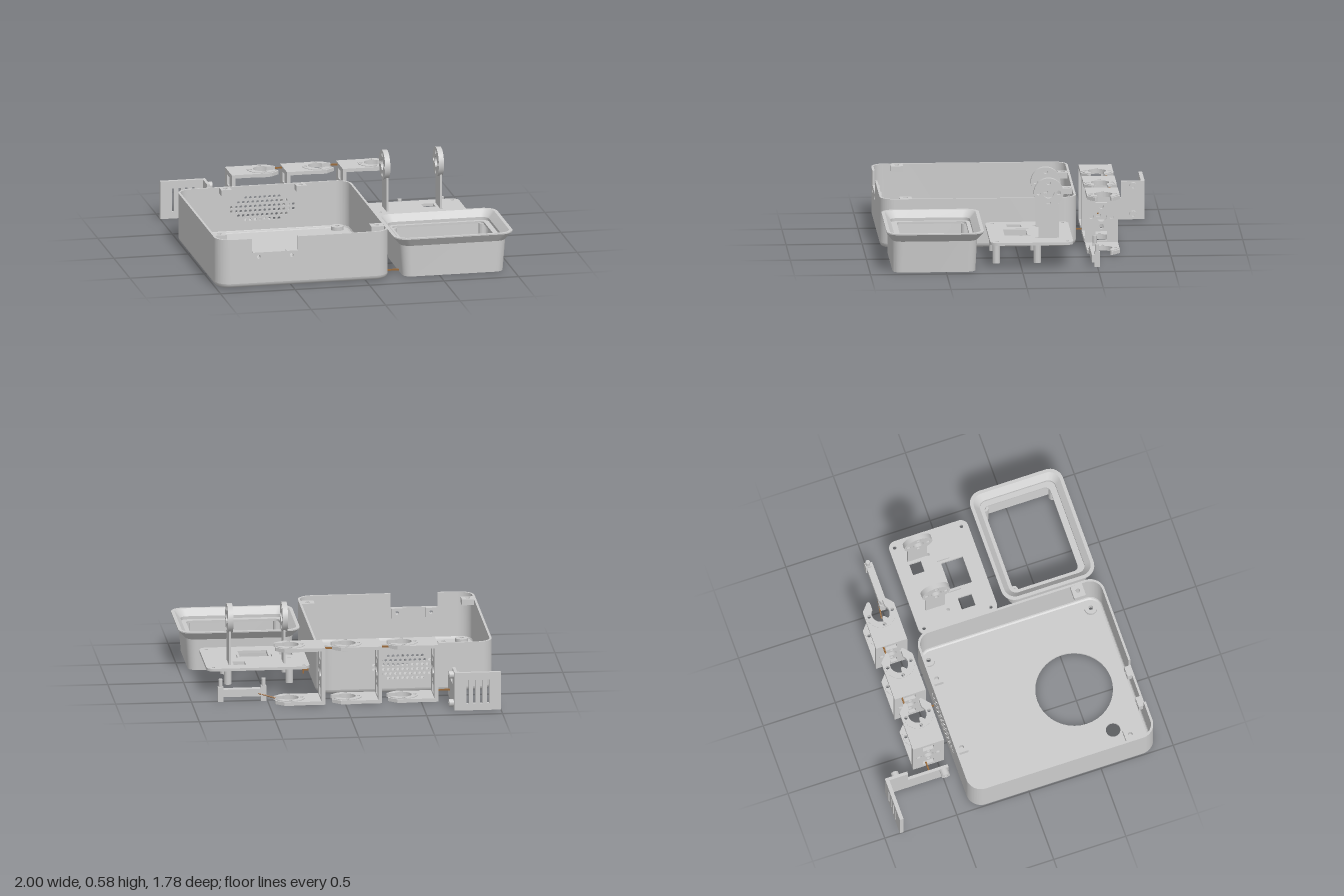
import * as THREE from 'three';
import { toCreasedNormals } from 'three/addons/utils/BufferGeometryUtils.js';

const PI = Math.PI;
const grey = new THREE.MeshStandardMaterial({ color: 0xcccccc });
const brown = new THREE.MeshStandardMaterial({ color: 0x9a6a3a });

// ---- helpers ----
function add(parent, name, geo, mat = grey) {
  const m = new THREE.Mesh(toCreasedNormals(geo, 0.5), mat);
  m.name = name;
  parent.add(m);
  return m;
}
function box(parent, name, x0, x1, y0, y1, z0, z1, mat) {
  const g = new THREE.BoxGeometry(x1 - x0, y1 - y0, z1 - z0);
  g.translate((x0 + x1) / 2, (y0 + y1) / 2, (z0 + z1) / 2);
  return add(parent, name, g, mat);
}
const poly = (...p) => new THREE.Shape(p.map(([x, y]) => new THREE.Vector2(x, y)));
const rect = (x0, x1, y0, y1) => poly([x0, y0], [x1, y0], [x1, y1], [x0, y1]);
const disc = (x, y, r) => new THREE.Shape().absarc(x, y, r, 0, 2 * PI, false);
const holed = (shape, holes) => { shape.holes.push(...holes); return shape; };
// points of a rounded rectangle
function roundedPts(x0, x1, y0, y1, r, n = 8) {
  const pts = [];
  [[x1 - r, y1 - r], [x0 + r, y1 - r], [x0 + r, y0 + r], [x1 - r, y0 + r]].forEach(([cx, cy], k) => {
    for (let i = 0; i <= n; i++) {
      const a = (k + i / n) * PI / 2;
      pts.push(new THREE.Vector2(cx + r * Math.cos(a), cy + r * Math.sin(a)));
    }
  });
  return pts;
}
const rounded = (...a) => new THREE.Shape(roundedPts(...a));
const extrude = (s, depth) => new THREE.ExtrudeGeometry(s, { depth, bevelEnabled: false, curveSegments: 20 });
// shapes drawn in (x,z), (z,y) and (x,y), pushed along y, x and z
const alongY = (s, y0, y1) => extrude(s, y1 - y0).rotateX(PI / 2).translate(0, y1, 0);
const alongX = (s, x0, x1) => extrude(s, x1 - x0).rotateY(-PI / 2).translate(x1, 0, 0);
const alongZ = (s, z0, z1) => extrude(s, z1 - z0).translate(0, 0, z0);

// closed band through rounded-rectangle sections [x0, x1, z0, z1, radius, y]
function loft(sections) {
  const pos = [], idx = [], m = sections.length;
  let n = 0;
  for (const [x0, x1, z0, z1, r, y] of sections) {
    const pts = roundedPts(x0, x1, z0, z1, r);
    n = pts.length;
    pts.forEach(p => pos.push(p.x, y, p.y));
  }
  for (let j = 0; j < m; j++) for (let i = 0; i < n; i++) {
    const k = (j + 1) % m, l = (i + 1) % n;
    const a = j * n + i, b = k * n + i, c = k * n + l, d = j * n + l;
    idx.push(a, b, d, b, c, d);
  }
  const g = new THREE.BufferGeometry();
  g.setAttribute('position', new THREE.Float32BufferAttribute(pos, 3));
  g.setIndex(idx);
  return g;
}
function group(parent, name) {
  const g = new THREE.Group();
  g.name = name;
  parent.add(g);
  return g;
}

// ---- large open case ----
function makeCase(root) {
  const g = group(root, 'case');
  const X0 = -1, X1 = 0.165, Z0 = -0.4, Z1 = 0.89, R = 0.1, T = 0.015, cx = (X0 + X1) / 2, top = 0.33;
  const posts = [[-0.915, -0.33], [0.07, -0.33], [0.07, 0.795], [-0.915, 0.795]];
  const floor = rounded(X0 + 0.03, X1 - 0.03, Z0 + 0.03, Z1 - 0.03, R - 0.03);
  add(g, 'caseFloor', alongY(holed(floor, [disc(-0.425, 0.51, 0.255), disc(-0.775, 0.66, 0.048),
    ...posts.map(([x, z]) => disc(x, z, 0.015))]), 0, 0.015));
  // rounded bottom edge
  const inset = (d, y) => [X0 + d, X1 - d, Z0 + d, Z1 - d, R - d, y];
  const arc = [0, 1, 2, 3, 4].map(i => i * PI / 8);
  add(g, 'caseBottomEdge', loft([
    ...arc.map(a => inset(0.03 - 0.03 * Math.sin(a), 0.03 - 0.03 * Math.cos(a))),
    inset(T, 0.03), inset(0.02, 0.02), inset(0.03, 0.015)]));
  // side walls with their corners
  const s = new THREE.Shape();
  s.absarc(X0 + R, Z0 + R, R, 1.5 * PI, PI, true).absarc(X0 + R, Z1 - R, R, PI, PI / 2, true);
  s.absarc(X0 + R, Z1 - R, R - T, PI / 2, PI, false).absarc(X0 + R, Z0 + R, R - T, PI, 1.5 * PI, false);
  const pts = s.getPoints(12);
  add(g, 'caseRightWall', alongY(new THREE.Shape(pts), 0.03, top));
  add(g, 'caseLeftWall', alongY(new THREE.Shape(pts.map(p => new THREE.Vector2(2 * cx - p.x, p.y))), 0.03, top));
  // front wall with notch
  const a = X0 + R, b = X1 - R;
  const front = poly([a, 0.03], [b, 0.03], [b, top], [-0.455, top], [-0.455, 0.235], [-0.765, 0.235], [-0.765, top], [a, top]);
  add(g, 'caseFrontWall', alongZ(holed(front, [-0.72, -0.5].map(x => disc(x, 0.205, 0.013))), Z1 - T, Z1));
  for (const x of [-0.72, -0.495])
    add(g, 'frontScrewBlock', alongZ(holed(rect(x - 0.035, x + 0.035, 0.17, 0.235), [disc(x, 0.205, 0.013)]), 0.845, 0.875));
  // back wall with vent holes
  const vents = [];
  [8, 11, 14, 14, 11, 8].forEach((n, row) => {
    for (let i = 0; i < n; i++) vents.push(new THREE.Path().absarc(-0.42 + (i - (n - 1) / 2) * 0.032, 0.25 - row * 0.03, 0.01, 0, 2 * PI, false));
  });
  vents.forEach((v, i) => { vents[i] = new THREE.Path(v.getPoints(4)); });
  add(g, 'caseBackWall', alongZ(holed(rect(a, b, 0.03, top), vents), Z0, Z0 + T));
  // floor posts and lid tabs
  for (const [x, z] of posts)
    add(g, 'floorPost', alongY(holed(disc(x, z, 0.042), [disc(x, z, 0.015)]), 0.01, 0.04));
  for (const [x0, x1, z0, z1] of [[-0.71, -0.64, -0.39, -0.32], [-0.205, -0.135, -0.39, -0.32],
    [-0.99, -0.905, 0.68, 0.76], [0.065, 0.155, 0.68, 0.76]])
    add(g, 'lidTab', alongY(holed(rect(x0, x1, z0, z1), [disc((x0 + x1) / 2, (z0 + z1) / 2, 0.015)]), 0.29, 0.329));
}

// ---- flared tray frame ----
function makeFrame(root) {
  const g = group(root, 'flaredFrame');
  add(g, 'frameShell', loft([
    [0.262, 0.937, 0.305, 0.85, 0.06, 0], [0.245, 0.955, 0.295, 0.855, 0.07, 0.21],
    [0.2, 1, 0.25, 0.89, 0.09, 0.262], [0.2, 1, 0.25, 0.89, 0.09, 0.27],
    [0.222, 0.978, 0.272, 0.868, 0.075, 0.27], [0.262, 0.94, 0.31, 0.832, 0.05, 0.225],
    [0.262, 0.94, 0.31, 0.832, 0.05, 0.205], [0.29, 0.905, 0.335, 0.79, 0.035, 0.205],
    [0.29, 0.905, 0.335, 0.79, 0.035, 0.19], [0.262, 0.938, 0.312, 0.838, 0.055, 0.19],
    [0.277, 0.922, 0.32, 0.835, 0.045, 0]]));
  for (const x of [0.3, 0.899]) for (const z of [0.343, 0.812])
    add(g, 'framePost', alongY(holed(disc(x, z, 0.025), [disc(x, z, 0.01)]), 0.005, 0.195));
}

// ---- mounting plate with two ring arms ----
function makePlate(root) {
  const g = group(root, 'mountingPlate');
  const legs = [0.315, 0.72].flatMap(x => [-0.11, 0.16].map(z => [x, z]));
  const corners = [0.24, 0.835].flatMap(x => [-0.303, 0.16].map(z => disc(x, z, 0.012)));
  add(g, 'plate', alongY(holed(rounded(0.2, 0.88, -0.34, 0.205, 0.05), [...corners,
    rect(0.615, 0.695, -0.25, -0.17), rect(0.285, 0.37, -0.025, 0.07), rect(0.445, 0.635, -0.05, 0.1),
    rect(0.422, 0.428, -0.07, 0.015), rect(0.65, 0.656, -0.07, 0.015),
    ...[-0.11].flatMap(z => [disc(0.315, z, 0.01), disc(0.72, z, 0.01)])]), 0.16, 0.178));
  for (const [x, z] of legs)
    add(g, 'plateLeg', alongY(holed(disc(x, z, 0.024), [disc(x, z, 0.01)]), 0.012, 0.16));
  for (const x of [0.34, 0.7]) {
    const cz = -0.184, cy = 0.48;
    const bolts = [0, 1, 2, 3].map(k => disc(cz + 0.067 * Math.cos(k * PI / 2), cy + 0.067 * Math.sin(k * PI / 2), 0.015));
    add(g, 'armRing', alongX(holed(disc(cz, cy, 0.097), [disc(cz, cy, 0.037), ...bolts]), x, x + 0.035));
    box(g, 'armStem', x + 0.014, x + 0.028, 0.17, 0.405, -0.253, -0.118);
  }
}

// ---- clamp brackets: upright wall with two slotted jaws ----
function makeClamp(root, x) {
  const g = group(root, 'clampBracket');
  const zc = -0.563, c = 0.225, hw = 0.043, r = 0.06, a = Math.asin(hw / r);
  const bolts = () => [disc(c - 0.08, zc, 0.012), disc(c, zc - 0.08, 0.012), disc(c, zc + 0.08, 0.012)];
  const jaw = poly([0, zc - 0.108], [0.27, zc - 0.108], [0.325, zc - 0.06], [0.325, zc - 0.05], [0.315, zc - hw]);
  jaw.absarc(c, zc, r, -a, a, true);
  jaw.lineTo(0.315, zc + hw).lineTo(0.325, zc + 0.05).lineTo(0.325, zc + 0.06).lineTo(0.27, zc + 0.108).lineTo(0, zc + 0.108);
  holed(jaw, bolts());
  const b = Math.asin(hw / 0.1);
  const ring = new THREE.Shape().absarc(c, zc, 0.1, b, 2 * PI - b, false).absarc(c, zc, r, -a, a, true);
  holed(ring, bolts());
  for (const [y0, y1, q0, q1] of [[0.365, 0.388, 0.36, 0.392], [0.004, 0.027, 0, 0.032]]) {
    add(g, 'clampJaw', alongY(jaw, y0, y1));
    add(g, 'clampRing', alongY(ring, q0, q1));
  }
  const wallBolts = [0, 1, 2, 3].map(k => disc(zc + 0.067 * Math.cos(k * PI / 2), 0.2 + 0.067 * Math.sin(k * PI / 2), 0.017));
  add(g, 'clampWall', alongX(holed(rect(zc - 0.108, zc + 0.108, 0.004, 0.388), [disc(zc, 0.2, 0.035), ...wallBolts,
    rect(zc - 0.038, zc + 0.038, 0.29, 0.355), rect(zc - 0.038, zc + 0.038, 0.038, 0.1)]), 0, 0.025));
  g.position.x = x;
}

// ---- slotted corner bracket ----
function makeCornerBracket(root) {
  const g = group(root, 'cornerBracket');
  const slots = [-0.78, -0.825, -0.87, -0.915].map(x => rect(x - 0.008, x + 0.008, 0.045, 0.205));
  add(g, 'slottedPlate', alongZ(holed(rect(-1, -0.695, 0, 0.255), slots), -0.895, -0.87));
  add(g, 'sideWall', alongX(poly([-0.87, 0], [-0.46, 0], [-0.46, 0.145], [-0.74, 0.145], [-0.74, 0.255], [-0.87, 0.255]), -0.715, -0.695));
  const boss = (z, y, x0, x1, r) => add(g, 'screwBoss', alongX(holed(disc(z, y, r), [disc(z, y, r * 0.5)]), x0, x1));
  for (const y of [0.035, 0.225]) boss(-0.818, y, -0.695, -0.665, 0.025);
  boss(-0.495, 0.13, -0.765, -0.715, 0.028);
}

// ---- small retaining clip ----
function makeClip(root) {
  const g = group(root, 'retainingClip');
  box(g, 'clipBar', 0.505, 0.825, 0.03, 0.08, -0.51, -0.463);
  for (const x of [0.525, 0.808]) {
    box(g, 'clipEnd', x - 0.018, x + 0.018, 0, 0.1, -0.517, -0.48);
    add(g, 'clipPin', alongY(disc(x, -0.498, 0.014), 0.1, 0.15));
  }
}

// ---- thin linking rods ----
function makeLinks(root) {
  const g = group(root, 'linkRods');
  const t = 0.005;
  for (const [x0, x1, y, z] of [[0.15, 0.27, 0.01, 0.695], [0.15, 0.2, 0.035, 0.113], [-0.29, -0.235, 0.375, -0.62],
    [0.085, 0.14, 0.375, -0.62], [-0.7, -0.605, 0.06, -0.58]])
    box(g, 'linkRod', x0, x1, y - t, y + t, z - t, z + t, brown);
  box(g, 'uprightRod', 0.195, 0.205, 0.01, 0.165, 0.108, 0.118, brown);
  box(g, 'linkRod', -0.244, -0.235, 0.03, 0.04, -0.47, -0.395, brown);
  const path = new THREE.LineCurve3(new THREE.Vector3(0.45, 0.02, -0.525), new THREE.Vector3(0.56, 0.05, -0.51));
  add(g, 'linkRod', new THREE.TubeGeometry(path, 1, t, 6), brown);
}

export function createModel() {
  const root = new THREE.Group();
  root.name = 'enclosureKit';
  makeCase(root);
  makeFrame(root);
  makePlate(root);
  for (const x of [-0.61, -0.24, 0.135]) makeClamp(root, x);
  makeCornerBracket(root);
  makeClip(root);
  makeLinks(root);
  return root;
}
